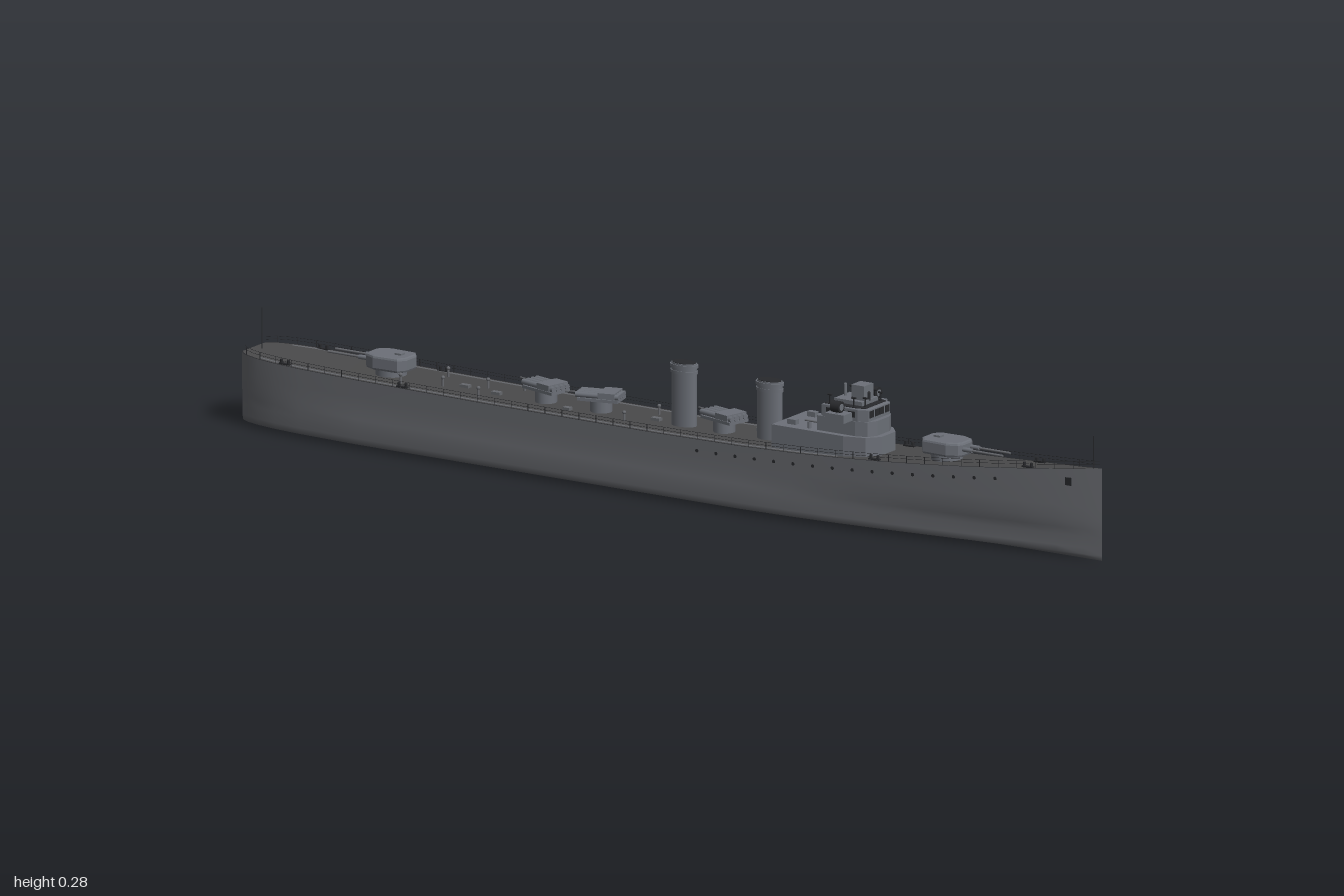
import * as THREE from 'three';

const mat = (name, color) => Object.assign(new THREE.MeshStandardMaterial({ color }), { name });

export function createModel() {
  const hullGrey = mat('hullGrey', 0x66686d), upperGrey = mat('upperGrey', 0x6c7078);
  const deckGrey = mat('deckGrey', 0x4a4a4b), dark = mat('dark', 0x28292c);
  const ship = new THREE.Group();
  ship.name = 'warship';

  const add = (name, geo, m, x = 0, y = 0, z = 0, parent = ship) => {
    const mesh = new THREE.Mesh(geo, m);
    mesh.name = name;
    mesh.position.set(x, y, z);
    parent.add(mesh);
    return mesh;
  };
  const box = (name, m, w, h, d, x, y, z, p) => add(name, new THREE.BoxGeometry(w, h, d), m, x, y, z, p);
  const cyl = (name, m, r, h, x, y, z, p) => add(name, new THREE.CylinderGeometry(r, r, h, 16), m, x, y, z, p);
  const rod = (name, m, r, len, x, y, z, p) => {
    const o = cyl(name, m, r, len, x, y, z, p);
    o.rotation.z = Math.PI / 2;
    return o;
  };
  // Plan outline (x, z) extruded upwards from y
  const plan = (name, m, pts, h, y, p = ship, bevel = 0) => {
    const s = new THREE.Shape(pts.map(([a, b]) => new THREE.Vector2(a, b)));
    const g = new THREE.ExtrudeGeometry(s, {
      depth: h - 2 * bevel, bevelEnabled: bevel > 0, bevelSize: bevel, bevelThickness: bevel, bevelOffset: -bevel, bevelSegments: 2,
    });
    g.translate(0, 0, bevel).rotateX(-Math.PI / 2);
    return add(name, g, m, 0, y, 0, p);
  };
  const mirrorPlan = (half) => [...half.map(([a, b]) => [a, -b]), ...half.slice().reverse()];
  // Surface through rows of points
  const loft = (name, m, rows, flip = false) => {
    const n = rows[0].length, idx = [];
    for (let i = 0; i < rows.length - 1; i++) for (let j = 0; j < n - 1; j++) {
      const a = i * n + j, b = a + n, c = b + 1, d = a + 1;
      idx.push(...(flip ? [a, d, b, b, d, c] : [a, b, d, b, c, d]));
    }
    const g = new THREE.BufferGeometry();
    g.setAttribute('position', new THREE.Float32BufferAttribute(rows.flat(2), 3));
    g.setIndex(idx);
    g.computeVertexNormals();
    return add(name, g, m);
  };

  // Hull lines: deck half-breadth, sheer and lower fullness
  const breadth = [[-1, 0.041], [-0.992, 0.051], [-0.975, 0.061], [-0.945, 0.07], [-0.9, 0.077], [-0.84, 0.081], [-0.7, 0.083],
    [-0.4, 0.083], [0, 0.083], [0.2, 0.083], [0.32, 0.081], [0.42, 0.077], [0.52, 0.0705], [0.62, 0.0615], [0.72, 0.0495],
    [0.82, 0.035], [0.9, 0.021], [0.96, 0.009], [1, 0]];
  const half = (x) => {
    let i = 1;
    while (i < breadth.length - 1 && x > breadth[i][0]) i++;
    const [x0, w0] = breadth[i - 1], [x1, w1] = breadth[i];
    return w0 + (w1 - w0) * (x - x0) / (x1 - x0);
  };
  const deckY = (x) => 0.134 + (x > 0 ? 0.054 * x * x : 0.012 * Math.pow(-x, 2.5));
  const fullness = (x) => x > 0.2 ? 1.06 - 0.5 * Math.pow((x - 0.2) / 0.8, 1.3) : x < -0.7 ? 1.06 - 0.12 * (-0.7 - x) / 0.3 : 1.06;
  const xs = breadth.map((b) => b[0]);
  // Half section from keel to deck edge
  const side = (x, s) => {
    const w = half(x), f = fullness(x), h = deckY(x);
    return [[0, 0], [0.5 * f, 0.005], [0.98 * f, 0.0095], [f, 0.022], [f, 0.045], [f * 0.7 + 0.3, 0.06], [f * 0.25 + 0.75, 0.078],
      [f * 0.1 + 0.9, 0.105], [1, h]].map(([k, y]) => [x, y, s * w * k]);
  };
  loft('hull', hullGrey, xs.map((x) => [...side(x, -1).reverse(), ...side(x, 1).slice(1)]));
  loft('transom', hullGrey, [side(-1, -1), side(-1, 1)]);
  const inset = (x, d) => Math.max(half(x) - d, 0);
  loft('deck', deckGrey, xs.map((x) => [[x, deckY(x), inset(x, 0.004)], [x, deckY(x), -inset(x, 0.004)]]));
  for (const s of [1, -1]) {
    loft('deckEdge', dark, xs.map((x) => [[x, deckY(x), s * half(x)], [x, deckY(x), s * inset(x, 0.004)]]), s < 0);
    // Low gutter ridge inboard of the edge
    const run = xs.filter((x) => x > -0.95 && x < 0.5);
    loft('gutter', hullGrey, run.map((x) => [[0.01, 0], [0.012, 0.0015], [0.014, 0]].map(([d, h]) => [x, deckY(x) + h, s * inset(x, d)])), s < 0);
  }

  // Railings, portholes, anchors and bollards on both sides
  for (const s of [1, -1]) {
    for (let x = -0.98; x < 0.99; x += 0.04)
      cyl('railPost', dark, 0.0007, 0.014, x, deckY(x) + 0.007, s * inset(x, 0.003));
    for (const h of [0.008, 0.014]) {
      const path = new THREE.CatmullRomCurve3(xs.map((x) => new THREE.Vector3(x * 0.995, deckY(x) + h, s * inset(x, 0.003))));
      add('railWire', new THREE.TubeGeometry(path, 90, 0.0004, 4), dark);
    }
    for (let x = 0.1; x < 0.8; x += 0.045) {
      const p = cyl('porthole', dark, 0.0035, 0.003, x, deckY(x) - 0.022, s * (half(x) * (0.97 + 0.03 * fullness(x)) - 0.0005));
      p.rotation.x = Math.PI / 2;
    }
    box('anchor', dark, 0.014, 0.016, 0.004, 0.93, 0.155, s * half(0.93) * 0.95);
    for (const x of [-0.88, -0.6, 0.505, 0.84]) {
      const z = s * inset(x, 0.009);
      box('bollardBase', dark, 0.026, 0.003, 0.008, x, deckY(x) + 0.0015, z);
      for (const d of [-0.008, 0.008]) cyl('bollard', dark, 0.003, 0.01, x + d, deckY(x) + 0.005, z);
    }
  }
  cyl('sternStaff', dark, 0.001, 0.085, -0.98, 0.187, 0);
  cyl('bowStaff', dark, 0.001, 0.07, 0.98, 0.217, 0);

  // Twin gun turrets
  const turret = (x, turn) => {
    const g = new THREE.Group();
    g.name = 'gunTurret';
    g.position.set(x, deckY(x), 0);
    g.rotation.y = turn;
    ship.add(g);
    cyl('turretBase', upperGrey, 0.032, 0.014, 0, 0.006, 0, g);
    plan('turretShield', upperGrey, mirrorPlan([[-0.048, 0.018], [-0.036, 0.034], [0.02, 0.036], [0.042, 0.026], [0.048, 0.014]]), 0.03, 0.012, g, 0.005);
    for (const z of [-0.013, 0.013]) {
      rod('barrel', hullGrey, 0.0024, 0.1, 0.09, 0.028, z, g);
      rod('barrelSleeve', upperGrey, 0.0045, 0.025, 0.055, 0.028, z, g);
    }
    box('turretHatch', upperGrey, 0.016, 0.004, 0.014, -0.02, 0.0435, 0, g);
  };
  turret(0.635, 0);
  turret(-0.675, Math.PI);

  // Trainable torpedo mounts
  for (const [x, turn] of [[-0.31, -0.25], [-0.18, 0.25], [0.11, -0.25]]) {
    const g = new THREE.Group();
    g.name = 'torpedoMount';
    g.position.set(x, deckY(x), 0);
    g.rotation.y = turn;
    ship.add(g);
    cyl('mountBase', upperGrey, 0.022, 0.026, 0, 0.013, 0, g);
    box('mountPlatform', upperGrey, 0.085, 0.006, 0.05, 0, 0.027, 0, g);
    for (const z of [-0.018, -0.006, 0.006, 0.018]) rod('torpedoTube', upperGrey, 0.0058, 0.09, -0.002, 0.035, z, g);
    box('mountShield', upperGrey, 0.035, 0.012, 0.052, 0.018, 0.037, 0, g);
    rod('sight', hullGrey, 0.0015, 0.04, -0.055, 0.035, 0, g);
  }

  // Oval funnels with caps
  for (const [x, top] of [[0.015, 0.262], [0.217, 0.255]]) {
    const g = new THREE.Group();
    g.name = 'funnel';
    g.position.set(x, 0, 0);
    g.scale.z = 0.62;
    ship.add(g);
    add('funnelTrunk', new THREE.CylinderGeometry(0.028, 0.028, top - 0.13, 32), upperGrey, 0, (top + 0.13) / 2, 0, g);
    for (const [h, r] of [[0.006, 0.031], [0.018, 0.03]]) add('funnelBand', new THREE.CylinderGeometry(r, r, 0.006, 32), upperGrey, 0, top - h, 0, g);
    add('funnelMouth', new THREE.CylinderGeometry(0.026, 0.026, 0.002, 32), dark, 0, top, 0, g);
  }

  // Deckhouse and stepped bridge
  plan('deckhouse', upperGrey, mirrorPlan([[0.262, 0.062], [0.43, 0.062], [0.475, 0.05], [0.497, 0.025]]), 0.055, 0.13);
  plan('bridgeBase', upperGrey, mirrorPlan([[0.36, 0.049], [0.45, 0.049], [0.475, 0.042], [0.485, 0.022]]), 0.03, 0.185);
  plan('wheelhouse', upperGrey, mirrorPlan([[0.37, 0.047], [0.455, 0.047], [0.475, 0.039]]), 0.027, 0.213, ship, 0.002);
  plan('bridgeFloor', dark, mirrorPlan([[0.374, 0.043], [0.45, 0.043], [0.467, 0.036]]), 0.002, 0.2395);
  for (const z of [-0.0275, -0.0085, 0.0085, 0.0275]) box('frontWindow', dark, 0.003, 0.014, 0.0145, 0.4745, 0.2285, z);
  box('directorBase', upperGrey, 0.066, 0.01, 0.056, 0.42, 0.2445, 0);
  box('director', upperGrey, 0.03, 0.03, 0.033, 0.435, 0.264, 0);
  add('directorEye', new THREE.CapsuleGeometry(0.0045, 0.014, 4, 12), dark, 0.449, 0.255, 0);
  cyl('bridgeMast', upperGrey, 0.003, 0.025, 0.395, 0.262, 0);
  for (const s of [1, -1]) {
    for (const x of [0.39, 0.415, 0.44]) box('sideWindow', dark, 0.017, 0.012, 0.003, x, 0.228, s * 0.0465);
    box('bridgeWing', upperGrey, 0.045, 0.017, 0.032, 0.42, 0.2235, s * 0.062);
    cyl('searchlightPost', upperGrey, 0.004, 0.012, 0.42, 0.236, s * 0.067);
    rod('searchlight', dark, 0.0115, 0.02, 0.42, 0.245, s * 0.067);
    rod('searchlightLens', upperGrey, 0.007, 0.0215, 0.42, 0.245, s * 0.067);
    for (const [x, z] of [[0.385, 0.04], [0.44, 0.038], [0.46, 0.027]]) {
      cyl('sightPost', dark, 0.0016, 0.02, x, 0.25, s * z);
      rod('lookoutSight', dark, 0.002, 0.01, x, 0.259, s * z);
    }
    // Light guns and lockers on the deckhouse roof
    cyl('lightGunPost', upperGrey, 0.004, 0.014, 0.34, 0.192, s * 0.045);
    rod('lightGun', hullGrey, 0.002, 0.04, 0.35, 0.2, s * 0.045);
    box('roofLocker', upperGrey, 0.02, 0.01, 0.012, 0.295, 0.19, s * 0.035);
  }

  // Deck fittings: vents and hatches
  for (const [x, z] of [[-0.62, 0.05], [-0.57, -0.045], [-0.54, 0.02], [-0.46, -0.02], [-0.44, 0.045], [-0.39, -0.045], [-0.1, 0.04], [-0.07, -0.04]]) {
    cyl('ventPipe', hullGrey, 0.0025, 0.018, x, deckY(x) + 0.009, z);
    add('ventHead', new THREE.SphereGeometry(0.004, 10, 6), hullGrey, x, deckY(x) + 0.018, z);
  }
  for (const [x, z, w] of [[-0.5, 0, 0.02], [-0.42, 0.01, 0.02], [-0.24, 0.03, 0.016], [-0.05, 0, 0.02], [0.17, -0.04, 0.016]])
    box('deckHatch', hullGrey, w, 0.006, 0.012, x, deckY(x) + 0.003, z);
  return ship;
}
